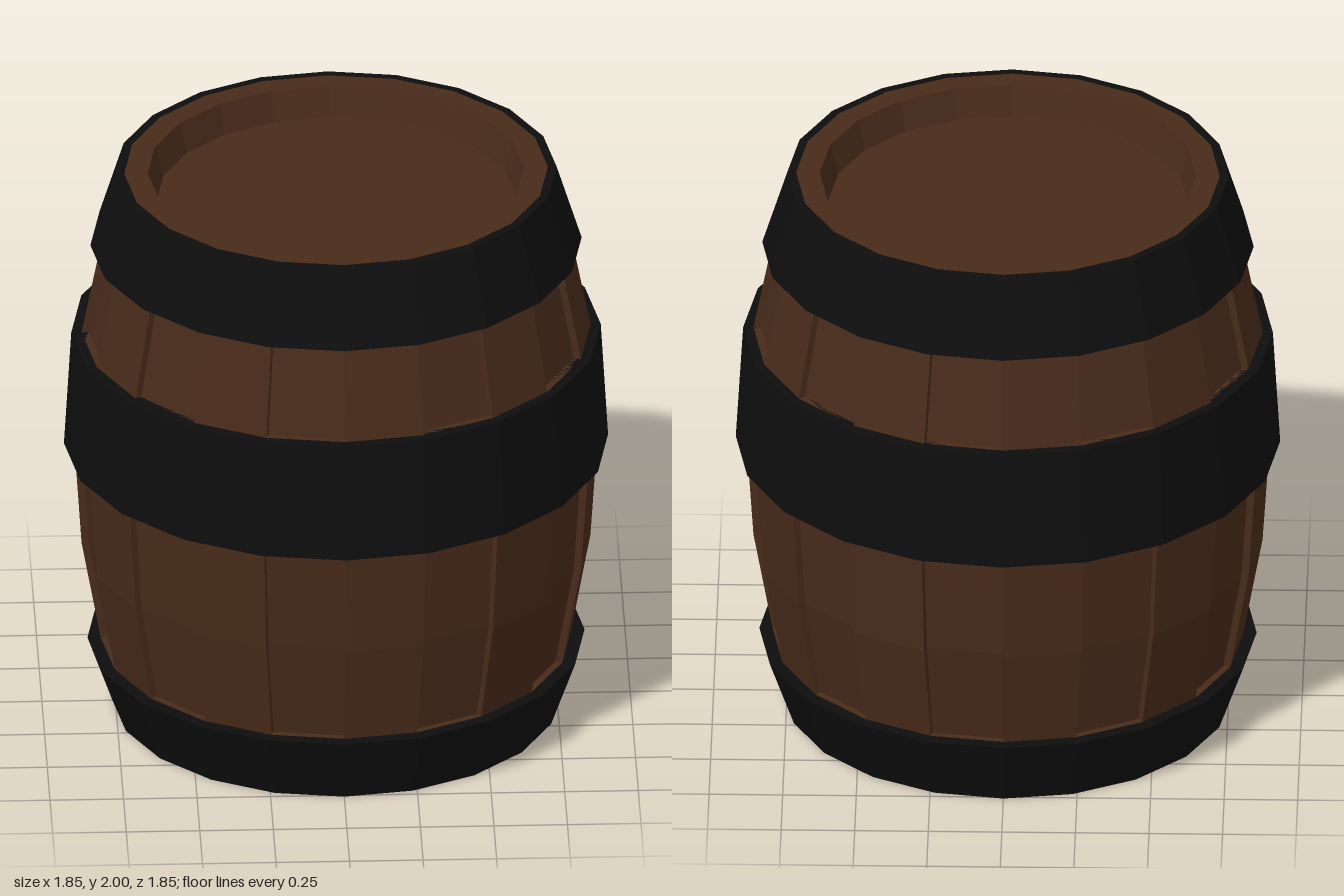
import * as THREE from 'three';

const STAVES = 20;
const STEP = (Math.PI * 2) / STAVES;
const INSET = 0.025;

const wood = new THREE.MeshStandardMaterial({ color: 0x482b1a, flatShading: true });
const woodThin = new THREE.MeshStandardMaterial({ color: 0x482b1a, flatShading: true, side: THREE.DoubleSide });
const iron = new THREE.MeshStandardMaterial({ color: 0x0e0e0e, flatShading: true, side: THREE.DoubleSide });

// Profiles are [radius, height] pairs, listed from bottom to top
const vec = (pairs) => pairs.map(([r, y]) => new THREE.Vector2(r, y));
const inset = (pairs) => pairs.map(([r, y]) => [r - INSET, y]);

const bottomEnd = [[0, 0.105], [0.61, 0.105], [0.64, 0], [0.73, 0]];
const lowerPanel = [[0.8, 0.24], [0.865, 0.6], [0.89, 0.98]];
const upperPanel = [[0.865, 1.4], [0.8, 1.73]];
const topEnd = [[0.72, 2], [0.64, 2], [0.61, 1.895], [0, 1.895]];

function mesh(name, geometry, material) {
  const m = new THREE.Mesh(geometry, material);
  m.name = name;
  return m;
}

// Radial wall closing one side of an inset panel
function panelSide(panel, angle) {
  const shape = new THREE.Shape(vec([...panel, ...inset(panel).reverse()]));
  const side = mesh('staveEdge', new THREE.ShapeGeometry(shape), woodThin);
  side.rotation.y = angle - Math.PI / 2;
  return side;
}

// Hoop with a sloped outer face and flat rims reaching in to the staves
function hoop(name, [y0, outer0, inner0], [y1, outer1, inner1]) {
  const profile = vec([[inner0, y0], [outer0, y0], [outer1, y1], [inner1, y1]]);
  return mesh(name, new THREE.LatheGeometry(profile, STAVES), iron);
}

export function createModel() {
  const barrel = new THREE.Group();
  barrel.name = 'barrel';

  // Staves: every second one is set back between the hoops
  const staves = new THREE.Group();
  staves.name = 'staves';
  const plain = vec([...bottomEnd, ...lowerPanel, ...upperPanel, ...topEnd]);
  const notch = (panel) => [panel[0], ...inset(panel), panel[panel.length - 1]];
  const recessed = vec([...bottomEnd, ...notch(lowerPanel), ...notch(upperPanel), ...topEnd]);
  for (let i = 0; i < STAVES; i++) {
    const start = i * STEP;
    const setBack = i % 2 === 1;
    const slice = new THREE.LatheGeometry(setBack ? recessed : plain, 1, start, STEP);
    staves.add(mesh(setBack ? 'recessedStave' : 'stave', slice, wood));
    if (setBack) {
      for (const panel of [lowerPanel, upperPanel]) {
        staves.add(panelSide(panel, start), panelSide(panel, start + STEP));
      }
    }
  }
  barrel.add(staves);

  // Iron hoops
  barrel.add(
    hoop('bottomHoop', [0, 0.76, 0.73], [0.24, 0.845, 0.8]),
    hoop('middleHoop', [0.98, 0.925, 0.865], [1.4, 0.9, 0.84]),
    hoop('topHoop', [1.73, 0.835, 0.775], [2, 0.75, 0.72])
  );
  return barrel;
}
